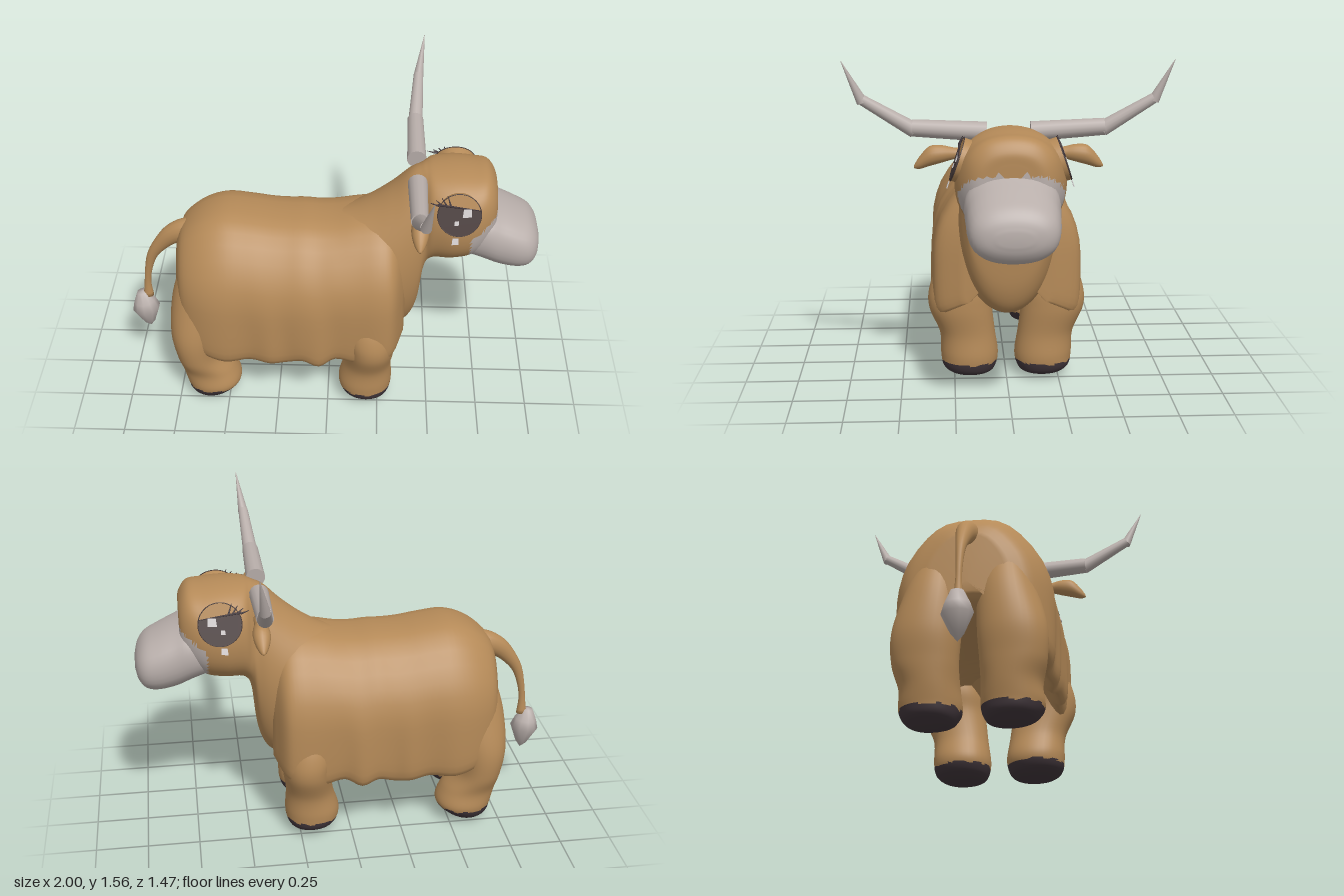
import * as THREE from 'three';

const mat = (name, color) => {
  const m = new THREE.MeshStandardMaterial({ color });
  m.name = name;
  return m;
};

const V = (x, y, z) => new THREE.Vector3(x, y, z);

// Smooth closed skin through a row of rings; pick(centre) chooses the material index of a face
function skin(rings, pick = () => 0, around = 36, steps = 4) {
  const round = rings.map(r => new THREE.CatmullRomCurve3(r, true, 'catmullrom', 0.5).getPoints(around).slice(0, around));
  const rows = (rings.length - 1) * steps;
  const cols = round[0].map((_, i) =>
    new THREE.CatmullRomCurve3(round.map(r => r[i]), false, 'catmullrom', 0.5).getPoints(rows));
  const pts = [];
  for (let j = 0; j <= rows; j++) for (let i = 0; i < around; i++) pts.push(cols[i][j]);
  const faces = [];
  for (let j = 0; j < rows; j++) for (let i = 0; i < around; i++) {
    const k = (i + 1) % around, a = j * around, b = a + around;
    faces.push([a + i, a + k, b + k], [a + i, b + k, b + i]);
  }
  for (const [row, flip] of [[0, true], [rows, false]]) {
    const c = V(0, 0, 0), base = row * around;
    for (let i = 0; i < around; i++) c.addScaledVector(pts[base + i], 1 / around);
    const id = pts.push(c) - 1;
    for (let i = 0; i < around; i++) {
      const p = base + i, q = base + (i + 1) % around;
      faces.push(flip ? [id, q, p] : [id, p, q]);
    }
  }
  // Turn every face outward
  let volume = 0;
  for (const [a, b, c] of faces) volume += pts[a].dot(V(0, 0, 0).crossVectors(pts[b], pts[c]));
  if (volume < 0) faces.forEach(f => f.reverse());
  const buckets = [[], []];
  for (const f of faces) {
    const c = V(0, 0, 0);
    f.forEach(i => c.addScaledVector(pts[i], 1 / 3));
    buckets[pick(c)].push(...f);
  }
  const g = new THREE.BufferGeometry().setFromPoints(pts);
  g.setIndex([...buckets[0], ...buckets[1]]);
  g.addGroup(0, buckets[0].length, 0);
  g.addGroup(buckets[0].length, buckets[1].length, 1);
  g.computeVertexNormals();
  return g;
}

// Rounded-square ring: f(u, v) places the unit outline
function ring(f, power = 2.5, n = 16) {
  const out = [];
  for (let i = 0; i < n; i++) {
    const a = i / n * Math.PI * 2, c = Math.cos(a), s = Math.sin(a), e = 2 / power;
    out.push(f(Math.sign(c) * Math.abs(c) ** e, Math.sign(s) * Math.abs(s) ** e));
  }
  return out;
}
const xRing = ([x, top, bottom, w], power) =>
  ring((u, v) => V(x, (top + bottom) / 2 + v * (top - bottom) / 2, u * w), power);
const yRing = ([y, x0, x1, z0, z1], side) =>
  ring((u, v) => V((x0 + x1) / 2 + u * (x1 - x0) / 2, y, side * ((z0 + z1) / 2 + v * (z1 - z0) / 2)), 2.15);

export function createModel() {
  const model = new THREE.Group();
  const coat = mat('brownCoat', 0xb58a58), pale = mat('paleGrey', 0xb8aeaa);
  const hoof = mat('darkHoof', 0x40353a), dark = mat('darkEye', 0x4a3d3c);
  const shine = mat('eyeShine', 0xd2cdcd);
  const add = (name, geo, material, parent = model) => {
    const m = new THREE.Mesh(geo, material);
    m.name = name;
    parent.add(m);
    return m;
  };

  // Body: arched back, hollow belly and a skirt of hair whose hem dips in and out
  const half = [[0.35, 0.98], [0.62, 0.88], [0.87, 0.7], [0.98, 0.52], [1, 0.35], [1, 0.17], [0.98, 0.05],
    [0.9, 0], [0.78, 0.06], [0.6, 0.2], [0.3, 0.26]];
  const outline = [[0, 1], ...half, [0, 0.27], ...half.slice().reverse().map(([z, t]) => [-z, t])];
  const bodyRows = [[-0.735, 0.85, 0.48, 0.17, 0], [-0.7, 0.925, 0.4, 0.27, 0], [-0.61, 0.995, 0.34, 0.33, 0],
    [-0.5, 1.03, 0.31, 0.355, 0], [-0.38, 1.02, 0.315, 0.355, 0.02], [-0.28, 1.005, 0.305, 0.355, 0],
    [-0.2, 1, 0.3, 0.355, 0.02], [-0.12, 1, 0.325, 0.355, 0], [-0.04, 0.995, 0.3, 0.355, -0.01],
    [0.04, 1, 0.33, 0.352, 0.015], [0.14, 1.02, 0.31, 0.35, 0.01], [0.25, 1.03, 0.32, 0.35, 0],
    [0.32, 1, 0.36, 0.32, 0], [0.37, 0.93, 0.42, 0.2, 0]];
  add('body', skin(bodyRows.map(([x, top, bottom, w, dip]) => outline.map(([z, t]) =>
    V(x, bottom + t * (top - bottom), z * (w - dip * Math.max(0, 1 - t * 1.6))))), undefined, 48), coat);

  // Chest, neck and head in one skin, pale where the muzzle begins
  const headRows = [[-0.08, 0.97, 0.65, 0.2, 2], [0.08, 1.01, 0.48, 0.23, 2], [0.2, 1.075, 0.385, 0.24, 2],
    [0.3, 1.155, 0.355, 0.235, 2], [0.38, 1.235, 0.385, 0.218, 2], [0.43, 1.262, 0.5, 0.2, 2.1],
    [0.455, 1.27, 0.72, 0.2, 2.2], [0.49, 1.277, 0.8, 0.222, 2.3], [0.58, 1.28, 0.812, 0.245, 2.3],
    [0.67, 1.274, 0.83, 0.235, 2.3], [0.74, 1.265, 0.88, 0.2, 2.4], [0.78, 1.21, 0.93, 0.15, 2.4],
    [0.785, 1.15, 0.98, 0.08, 2.4]];
  add('chestNeckAndHead', skin(headRows.map(r => xRing(r, r[4])),
    c => (c.x > 0.665 && c.y < 1.01 + (c.x - 0.665) * 0.8 ? 1 : 0), 56, 6), [coat, pale]);

  // Muzzle
  const muzzleRows = [[0.66, 1.09, 0.84, 0.19], [0.74, 1.12, 0.81, 0.207], [0.81, 1.09, 0.78, 0.203],
    [0.89, 1.05, 0.765, 0.198], [0.95, 1.015, 0.775, 0.182], [0.985, 0.97, 0.815, 0.14], [1, 0.92, 0.86, 0.07]];
  add('muzzle', skin(muzzleRows.map(r => xRing(r, 2.3))), pale);

  // Tail: x, y, radius, tilt of the cross-section
  const tailRows = [[-0.6, 0.87, 0.07, 0], [-0.7, 0.87, 0.062, 0.2], [-0.77, 0.84, 0.05, 0.6],
    [-0.83, 0.78, 0.036, 0.9], [-0.875, 0.71, 0.025, 1.2], [-0.9, 0.62, 0.018, 1.45],
    [-0.91, 0.54, 0.017, 1.57], [-0.912, 0.46, 0.026, 1.57]];
  add('tail', skin(tailRows.map(([x, y, r, a]) =>
    ring((u, v) => V(x - v * r * Math.sin(a), y + v * r * Math.cos(a), u * r * 0.85), 2)), undefined, 16), coat);
  const tuft = add('tailTuft', new THREE.LatheGeometry(
    [[0, -0.11], [0.03, -0.075], [0.07, 0.01], [0.055, 0.055], [0.028, 0.11], [0, 0.115]]
      .map(p => new THREE.Vector2(...p)), 10), pale);
  tuft.position.set(-0.93, 0.37, 0);
  tuft.rotation.z = 0.12;

  const legs = {
    frontLeg: [[0.62, 0.11, 0.28, 0.13, 0.3], [0.47, 0.085, 0.325, 0.08, 0.362], [0.36, 0.095, 0.33, 0.07, 0.37],
      [0.23, 0.085, 0.315, 0.055, 0.32], [0.12, 0.055, 0.32, 0.04, 0.315], [0.06, 0.07, 0.31, 0.05, 0.305],
      [0.03, 0.11, 0.285, 0.075, 0.27], [0.01, 0.165, 0.23, 0.14, 0.21]],
    hindLeg: [[0.78, -0.71, -0.45, 0.05, 0.25], [0.6, -0.76, -0.47, 0.03, 0.3], [0.42, -0.775, -0.53, 0.035, 0.34],
      [0.28, -0.755, -0.54, 0.045, 0.335], [0.18, -0.735, -0.47, 0.045, 0.31], [0.1, -0.715, -0.44, 0.04, 0.315],
      [0.05, -0.7, -0.48, 0.055, 0.295], [0.02, -0.66, -0.53, 0.08, 0.26], [0, -0.62, -0.58, 0.14, 0.21]]
  };

  for (const side of [1, -1]) {
    const label = side > 0 ? 'left' : 'right';
    // Legs with dark hooves
    for (const [name, rows] of Object.entries(legs)) {
      const wave = c => 0.086 + 0.006 * Math.sin(c.x * 70 + c.z * 50);
      add(label + name[0].toUpperCase() + name.slice(1),
        skin(rows.map(r => yRing(r, side)), c => (c.y < wave(c) ? 1 : 0), 36, 7), [coat, hoof]);
    }

    // Horn in three tapering pieces
    const horn = new THREE.Group();
    horn.name = label + 'Horn';
    model.add(horn);
    const pieces = [[V(0.41, 1.235, 0.1), V(0.41, 1.255, 0.43), 0.046, 0.039],
      [V(0.41, 1.245, 0.42), V(0.425, 1.385, 0.65), 0.036, 0.024],
      [V(0.425, 1.375, 0.648), V(0.45, 1.56, 0.735), 0.025, 0.001]];
    pieces.forEach(([a, b, r0, r1], i) => {
      a.z *= side; b.z *= side;
      const dir = b.clone().sub(a);
      const m = add('hornPiece' + (i + 1), new THREE.CylinderGeometry(r1, r0, dir.length(), 14), pale, horn);
      m.position.copy(a).add(b).multiplyScalar(0.5);
      m.quaternion.setFromUnitVectors(V(0, 1, 0), dir.normalize());
    });

    // Drooping leaf-shaped ear: z, y, half height, half depth
    const earRows = [[0.17, 1.14, 0.025, 0.025], [0.24, 1.14, 0.026, 0.026], [0.3, 1.138, 0.04, 0.038],
      [0.355, 1.128, 0.045, 0.04], [0.4, 1.098, 0.028, 0.024], [0.425, 1.08, 0.006, 0.006]];
    add(label + 'Ear', skin(earRows.map(([z, y, h, d]) =>
      ring((u, v) => V(0.42 + u * d, y + v * h, side * z), 2)), undefined, 16), coat);

    // Eye: brown lid pad, dark iris below the lid line, outline, shines and lashes
    const eye = new THREE.Group();
    eye.name = label + 'Eye';
    eye.position.set(0.6, 1.15, side * 0.232);
    eye.rotation.x = -side * 0.33;
    model.add(eye);
    const pad = add('eyelid', new THREE.CylinderGeometry(0.098, 0.098, 0.06, 32), coat, eye);
    pad.rotation.x = Math.PI / 2;
    pad.position.z = -side * 0.03;
    const plate = (name, shape, material, x, y, z) => {
      const g = new THREE.ExtrudeGeometry(shape, { depth: 0.004, bevelEnabled: false, curveSegments: 28 });
      add(name, g, material, eye).position.set(x, y, side * z - 0.002);
    };
    const iris = new THREE.Shape();
    iris.absarc(0, 0, 0.098, Math.PI - 0.5, Math.PI * 2 + 0.26, false);
    plate('iris', iris, dark, 0, 0, 0.003);
    const square = s => new THREE.Shape([[-s, -s], [s, -s * 0.8], [s * 0.9, s], [-s * 0.8, s * 0.9]]
      .map(p => new THREE.Vector2(...p)));
    plate('largeShine', square(0.021), shine, 0.035, 0.012, 0.007);
    plate('smallShine', square(0.011), shine, -0.012, -0.036, 0.007);
    plate('tear', square(0.016), shine, -0.015, -0.125, 0.002);
    add('eyeOutline', new THREE.TorusGeometry(0.1, 0.002, 6, 40), dark, eye);
    const bar = (name, x0, y0, x1, y1, r) => {
      const m = add(name, new THREE.CylinderGeometry(r * 0.3, r, Math.hypot(x1 - x0, y1 - y0), 6), hoof, eye);
      m.position.set((x0 + x1) / 2, (y0 + y1) / 2, side * 0.006);
      m.rotation.z = Math.atan2(x0 - x1, y1 - y0);
    };
    bar('lidLine', -0.1, 0.05, 0.1, 0.025, 0.006);
    for (let i = 0; i < 4; i++)
      bar('lash' + (i + 1), -0.095 + i * 0.018, 0.045, -0.135 + i * 0.026, 0.058 + i * 0.012, 0.005);
  }
  return model;
}
